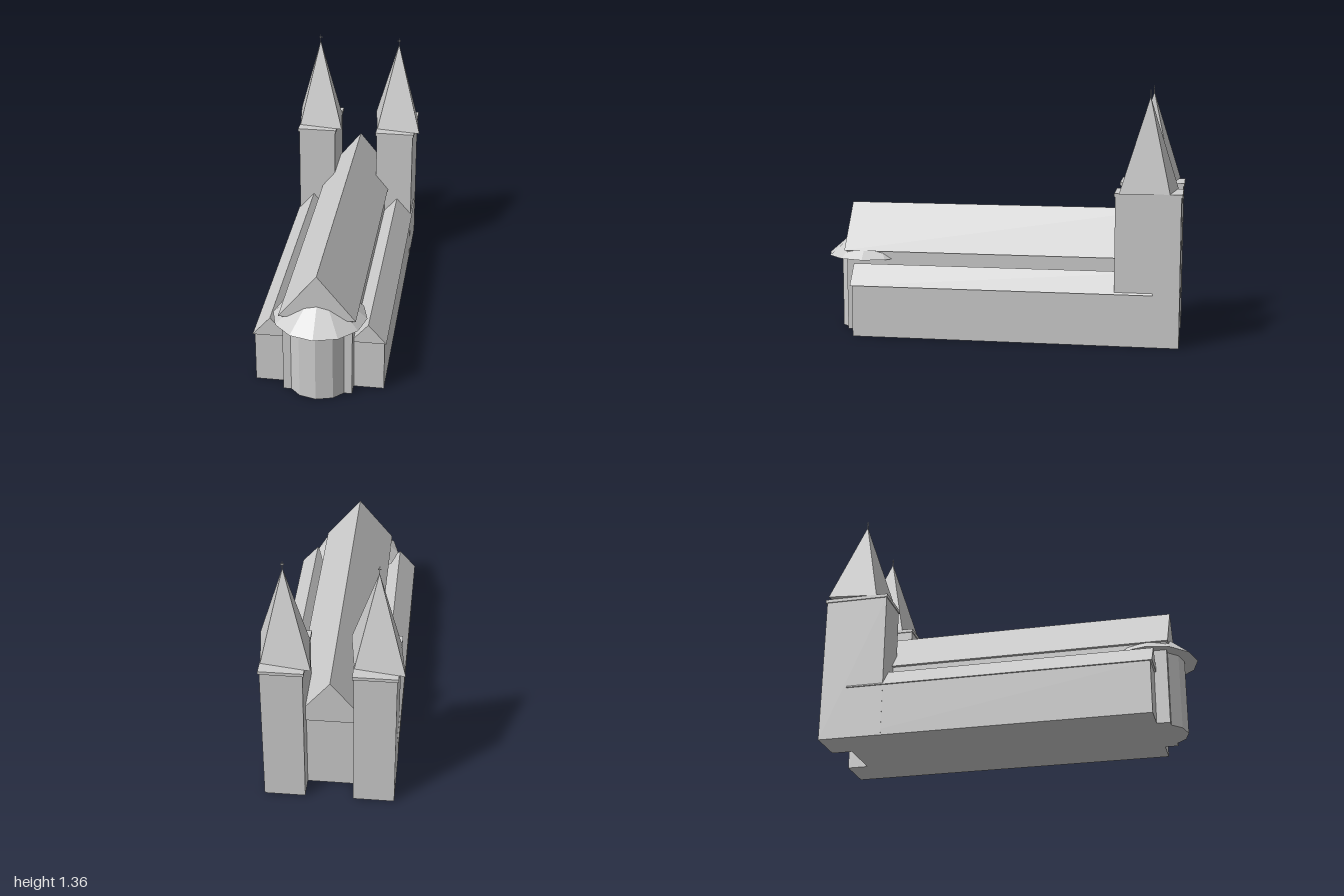
import * as THREE from 'three';

const stone = new THREE.MeshStandardMaterial({ color: 0xcccccc, flatShading: true });
stone.name = 'paleStone';

function add(parent, name, geometry, x = 0, y = 0, z = 0) {
  const mesh = new THREE.Mesh(geometry, stone);
  mesh.name = name;
  mesh.position.set(x, y, z);
  parent.add(mesh);
  return mesh;
}

// Box given by its limits on each axis
function block(parent, name, [x0, x1], [y0, y1], [z0, z1]) {
  return add(parent, name, new THREE.BoxGeometry(x1 - x0, y1 - y0, z1 - z0),
    (x0 + x1) / 2, (y0 + y1) / 2, (z0 + z1) / 2);
}

// Gabled roof: a triangle extruded along z
function gable(parent, name, x, halfWidth, y0, y1, z0, z1) {
  const shape = new THREE.Shape([
    new THREE.Vector2(-halfWidth, y0),
    new THREE.Vector2(halfWidth, y0),
    new THREE.Vector2(0, y1),
  ]);
  const geometry = new THREE.ExtrudeGeometry(shape, { depth: z1 - z0, bevelEnabled: false });
  return add(parent, name, geometry, x, 0, z0);
}

// Four-sided spire on a slightly twisted, diamond-shaped base
function spireGeometry(height) {
  const base = [[-0.146, -0.151], [-0.11, 0.113], [0.146, 0.151], [0.11, -0.113]];
  const points = [];
  base.forEach(([x, z], i) => {
    const [nx, nz] = base[(i + 1) % 4];
    points.push(x, 0, z, nx, 0, nz, 0, height, 0); // sloping face
    points.push(nx, 0, nz, x, 0, z, 0, 0, 0); // underside
  });
  const geometry = new THREE.BufferGeometry();
  geometry.setAttribute('position', new THREE.Float32BufferAttribute(points, 3));
  geometry.computeVertexNormals();
  return geometry;
}

function createTower(side) {
  const tower = new THREE.Group();
  tower.name = side > 0 ? 'leftTower' : 'rightTower';
  tower.position.set(side * 0.2335, 0, -0.82);
  block(tower, 'towerShaft', [-0.1075, 0.1075], [0, 0.805], [-0.172, 0.172]);
  block(tower, 'towerCornice', [-0.114, 0.114], [0.803, 0.821], [-0.179, 0.177]);
  add(tower, 'spire', spireGeometry(0.5), 0, 0.821, 0);
  // finial cross
  block(tower, 'crossPost', [-0.002, 0.002], [1.31, 1.357], [-0.002, 0.002]);
  block(tower, 'crossBar', [-0.009, 0.009], [1.34, 1.345], [-0.002, 0.002]);
  return tower;
}

export function createModel() {
  const church = new THREE.Group();
  church.name = 'church';

  // Nave
  block(church, 'naveWalls', [-0.181, 0.181], [0, 0.452], [-0.88, 0.85]);
  gable(church, 'naveRoof', 0, 0.2, 0.45, 0.696, -0.91, 0.86);

  // Rounded apse at the front
  add(church, 'apseWall', new THREE.CylinderGeometry(0.175, 0.175, 0.406, 12), 0, 0.203, 0.75);
  add(church, 'apseRoof', new THREE.ConeGeometry(0.246, 0.21, 12), 0, 0.51, 0.75);

  for (const side of [1, -1]) {
    const word = side > 0 ? 'left' : 'right';
    // Side aisle
    const x = [side * 0.17, side * 0.34].sort((a, b) => a - b);
    block(church, word + 'AisleWalls', x, [0, 0.285], [-0.84, 0.78]);
    gable(church, word + 'AisleRoof', side * 0.256, 0.094, 0.283, 0.39, -0.85, 0.79);
    church.add(createTower(side));
  }
  return church;
}
